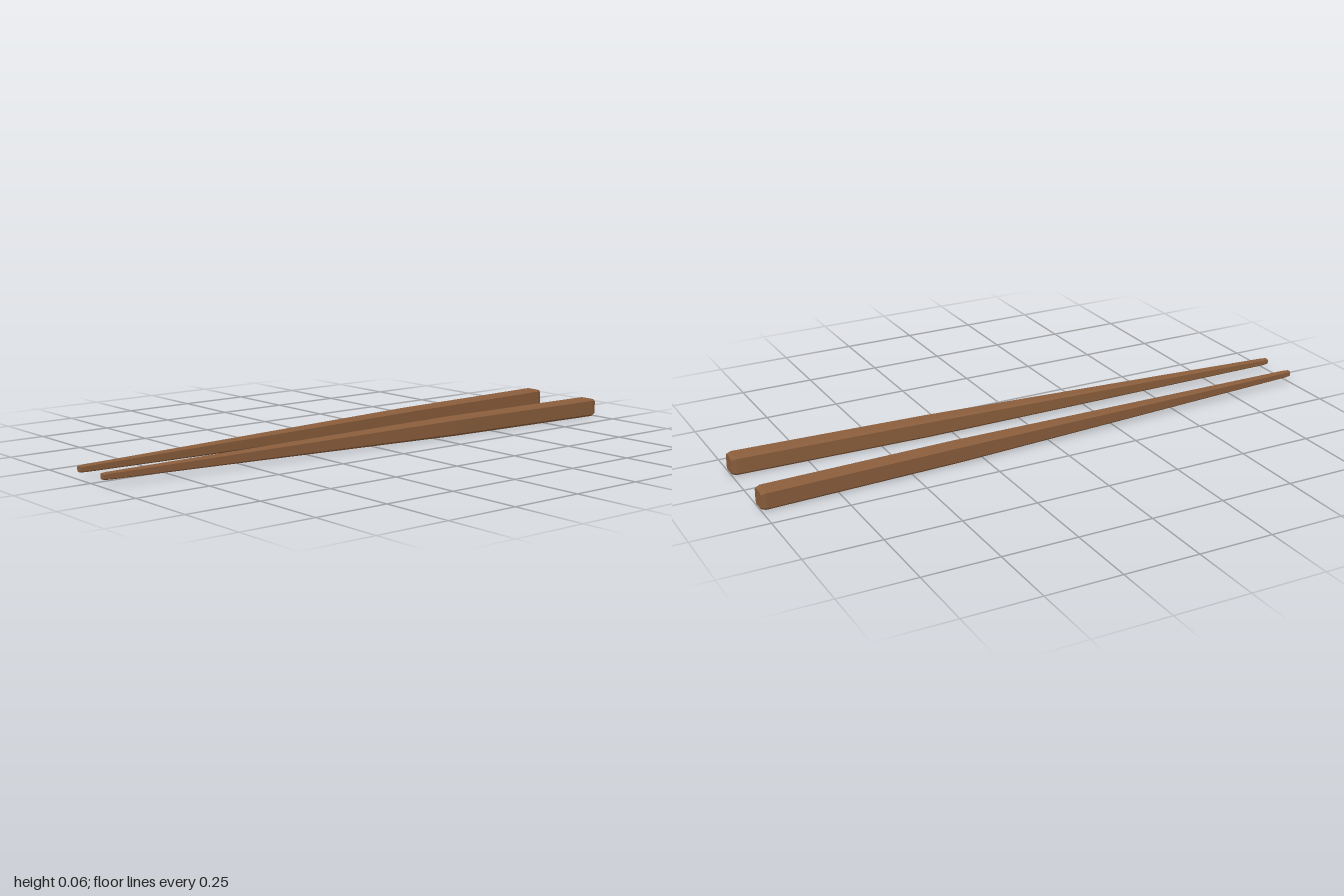
import * as THREE from 'three';

const wood = new THREE.MeshStandardMaterial({ color: 0x8b5e3c, flatShading: true });

// Stations along the stick: [z, half width, half height, chamfer]
const STATIONS = [
  [-1, 0.026, 0.027, 0.006],
  [-0.985, 0.03, 0.032, 0.007],
  [-0.33, 0.028, 0.0305, 0.007],
  [0.98, 0.0105, 0.0105, 0.003],
  [1, 0.009, 0.009, 0.003],
];
const SIDES = 8;

// Chamfered square outline, counter-clockwise seen from the tip
function outline(w, h, c) {
  return [
    [w, -h + c], [w, h - c], [w - c, h], [-w + c, h],
    [-w, h - c], [-w, -h + c], [-w + c, -h], [w - c, -h],
  ];
}

// Loft the outline through all stations and close both ends
function stickGeometry(side) {
  const positions = [];
  const index = [];
  for (const [z, w, h, c] of STATIONS) {
    const centreX = side * (0.102 - 0.035 * z);
    for (const [x, y] of outline(w, h, c)) positions.push(centreX + x, 0.032 + y, z);
  }
  const last = (STATIONS.length - 1) * SIDES;
  for (let s = 0; s < last; s += SIDES) {
    for (let i = 0; i < SIDES; i++) {
      const j = (i + 1) % SIDES;
      index.push(s + i, s + j, s + SIDES + j, s + i, s + SIDES + j, s + SIDES + i);
    }
  }
  for (let i = 1; i < SIDES - 1; i++) {
    index.push(0, i + 1, i);
    index.push(last, last + i, last + i + 1);
  }
  const geometry = new THREE.BufferGeometry();
  geometry.setAttribute('position', new THREE.Float32BufferAttribute(positions, 3));
  geometry.setIndex(index);
  const flat = geometry.toNonIndexed();
  flat.computeVertexNormals();
  return flat;
}

export function createModel() {
  const group = new THREE.Group();
  group.name = 'chopsticks';
  // Mirrored pair, converging towards the tips
  for (const [name, side] of [['leftChopstick', 1], ['rightChopstick', -1]]) {
    const stick = new THREE.Mesh(stickGeometry(side), wood);
    stick.name = name;
    group.add(stick);
  }
  return group;
}
